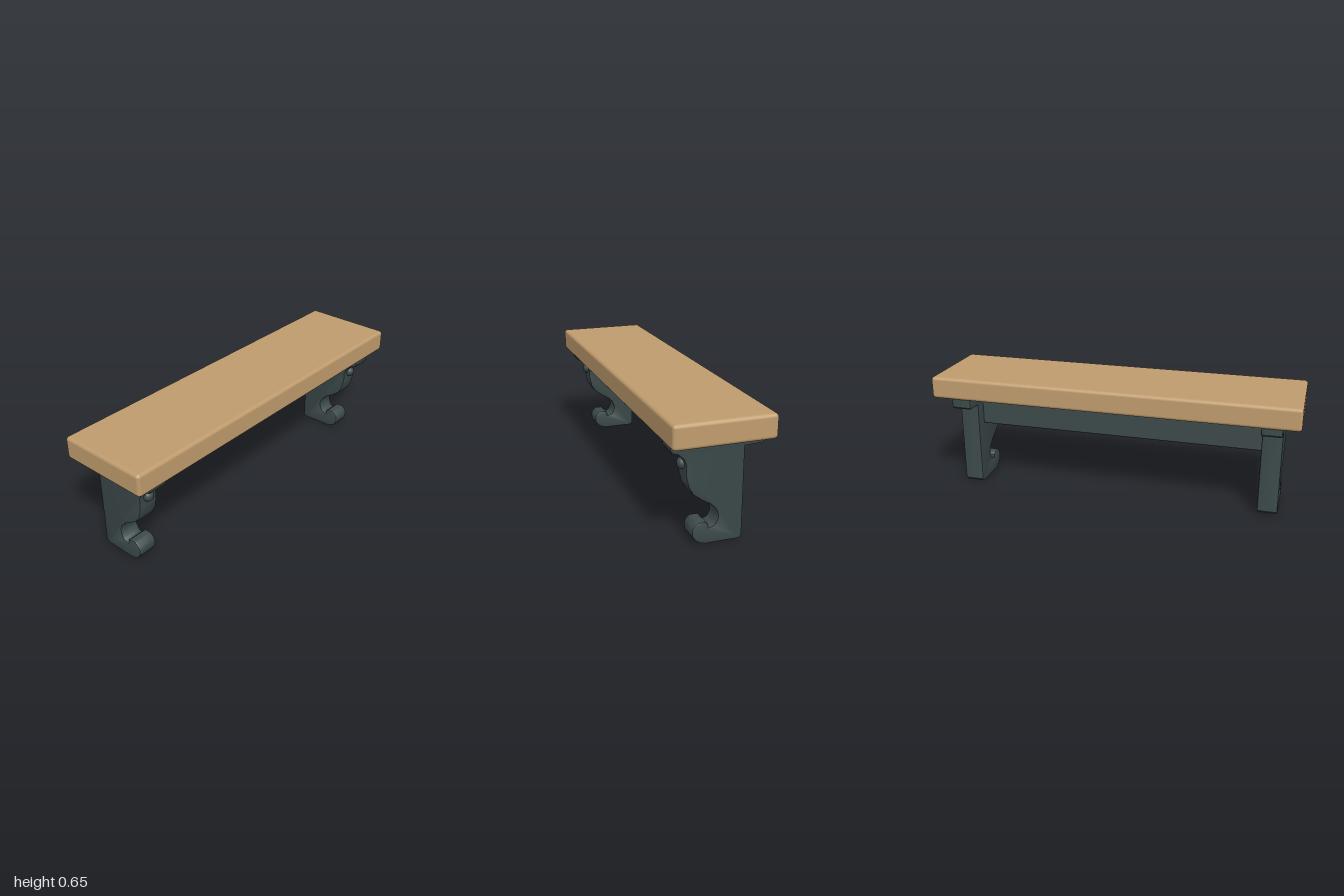
import * as THREE from 'three';
import { toCreasedNormals } from 'three/addons/utils/BufferGeometryUtils.js';
import { RoundedBoxGeometry } from 'three/addons/geometries/RoundedBoxGeometry.js';

// Bracket side outline as [z, y], from the top front corner down round the scroll
const OUTLINE = [
  [0.222, 0.535], [0.222, 0.49], [0.21, 0.472], [0.183, 0.464], [0.156, 0.44],
  [0.144, 0.41], [0.144, 0.358], [0.131, 0.30], [0.108, 0.26], [0.065, 0.227],
  [0.019, 0.20], [-0.008, 0.173], [-0.019, 0.144], [-0.019, 0.123], [-0.01, 0.10],
  [0, 0.089], [0.028, 0.08], [0.028, 0.10], [0.045, 0.114], [0.081, 0.114],
  [0.104, 0.095], [0.111, 0.073], [0.108, 0.045], [0.092, 0.021], [0.068, 0.007],
  [0.044, 0], [-0.13, 0], [-0.145, 0.015], [-0.145, 0.469], [-0.23, 0.473],
  [-0.242, 0.484], [-0.242, 0.535],
];

function bracketGeometry(width, bevel) {
  const shape = new THREE.Shape(OUTLINE.map(([z, y]) => new THREE.Vector2(z, y)));
  const geometry = new THREE.ExtrudeGeometry(shape, {
    depth: width - 2 * bevel,
    bevelThickness: bevel,
    bevelSize: bevel,
    bevelOffset: -bevel,
    bevelSegments: 2,
  });
  geometry.translate(0, 0, bevel - width / 2);
  geometry.rotateY(-Math.PI / 2); // outline runs along z, thickness along x
  return toCreasedNormals(geometry, 0.7);
}

export function createModel() {
  const wood = new THREE.MeshStandardMaterial({ color: 0xc09c6e });
  wood.name = 'wood';
  const iron = new THREE.MeshStandardMaterial({ color: 0x3d4a4b });
  iron.name = 'dark painted iron';

  const model = new THREE.Group();
  model.name = 'bracketShelf';
  const add = (parent, name, geometry, material, x, y, z) => {
    const mesh = new THREE.Mesh(geometry, material);
    mesh.name = name;
    mesh.position.set(x, y, z);
    parent.add(mesh);
    return mesh;
  };

  // Shelf board with softened edges
  add(model, 'shelfBoard', new RoundedBoxGeometry(2, 0.121, 0.506, 2, 0.018), wood, 0, 0.589, 0);

  // Rail joining the brackets under the board
  add(model, 'rail', new RoundedBoxGeometry(1.6, 0.195, 0.13, 2, 0.01), iron, -0.01, 0.4375, -0.015);

  // Scrolled brackets, each with a round stud on its front
  const body = bracketGeometry(0.108, 0.008);
  const stud = new THREE.SphereGeometry(0.029, 16, 10);
  for (const [name, x, y] of [['leftBracket', 0.833, 0], ['rightBracket', -0.856, 0.011]]) {
    const bracket = new THREE.Group();
    bracket.name = name;
    bracket.position.set(x, y, 0);
    add(bracket, 'scrollBody', body, iron, 0, 0, 0);
    add(bracket, 'stud', stud, iron, 0, 0.405, 0.146).scale.z = 0.86;
    model.add(bracket);
  }

  return model;
}
